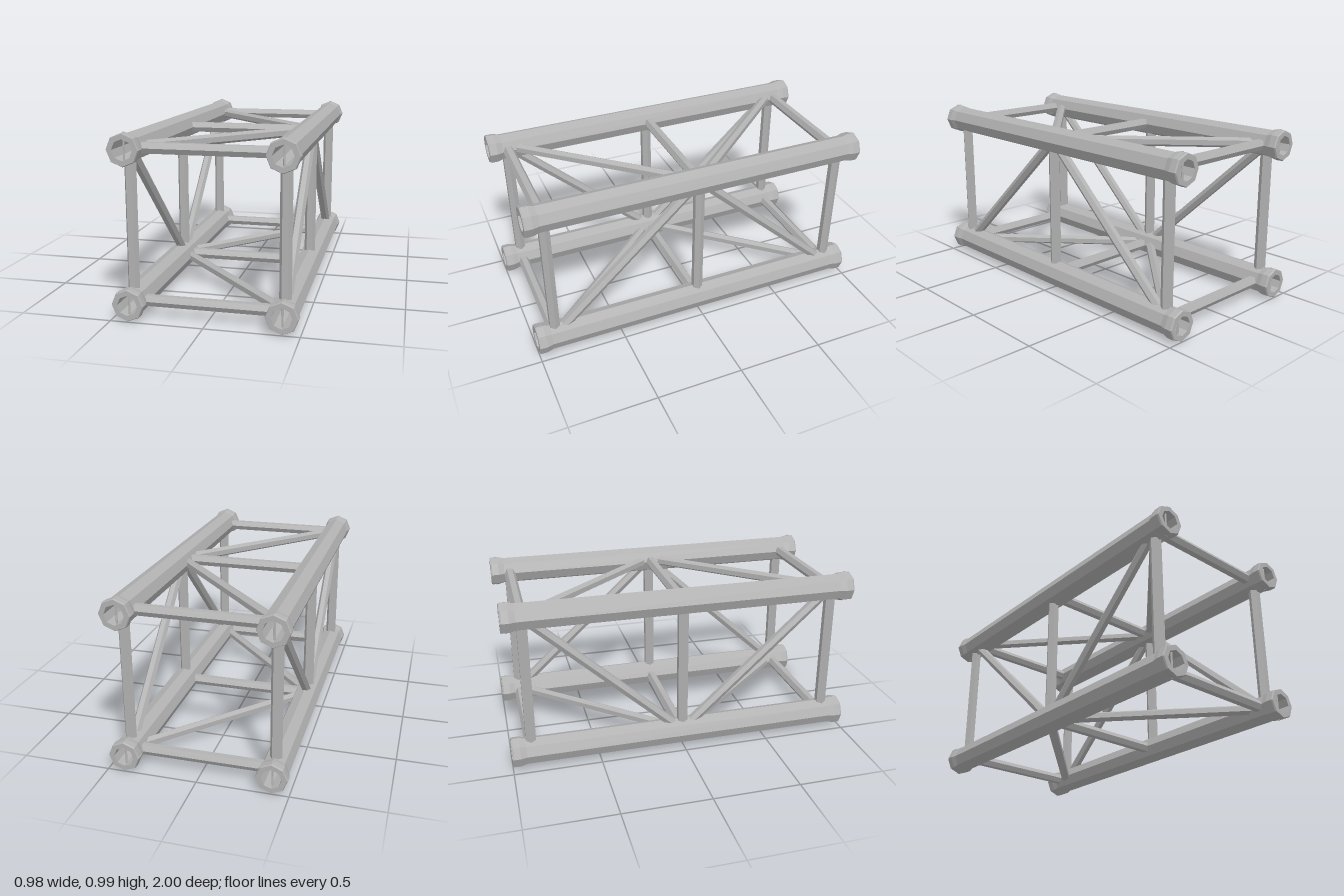
import * as THREE from 'three';

const X = 0.405, LOW = 0.088, HIGH = 0.901; // chord centre lines
const NODE = 0.888;                          // z of the end frames
const INSET = 0.062;                         // bars stop inside the chord wall

const metal = new THREE.MeshStandardMaterial({ color: 0xb2b2b2, flatShading: true });
metal.name = 'brushed aluminium';

const vec = (x, y, z) => new THREE.Vector3(x, y, z);

// Hollow octagonal chord with a thicker collar at both ends
function chordGeometry() {
  const half = [[0.0775, 0.92], [0.087, 0.955], [0.087, 0.992], [0.083, 1]];
  const outer = [...half.map(([r, z]) => [r, -z]).reverse(), ...half];
  const profile = [...outer, [0.055, 1], [0.055, -1], outer[0]];
  const geo = new THREE.LatheGeometry(profile.map(([r, z]) => new THREE.Vector2(r, z)), 8);
  return geo.rotateX(Math.PI / 2);
}

// Hexagonal bar between two chord centre lines. Its ends are mitred square to
// the span axis, and one of its long edges points along "corner".
function bar(name, from, to, span, corner, radius) {
  const run = to.clone().sub(from);
  const trim = INSET / Math.abs(run.dot(span));
  const a = from.clone().addScaledVector(run, trim);
  const b = to.clone().addScaledVector(run, -trim);
  const dir = run.clone().normalize();
  const geo = new THREE.CylinderGeometry(radius, radius, a.distanceTo(b), 6);
  const side = dir.clone().cross(corner);
  geo.applyMatrix4(new THREE.Matrix4().makeBasis(side, dir, corner));
  // slide each vertex along the bar onto the mitre plane
  const pos = geo.attributes.position, v = vec(0, 0, 0);
  for (let i = 0; i < pos.count; i++) {
    v.fromBufferAttribute(pos, i);
    const off = v.clone().addScaledVector(dir, -v.dot(dir));
    v.addScaledVector(dir, -off.dot(span) / dir.dot(span));
    pos.setXYZ(i, v.x, v.y, v.z);
  }
  geo.computeVertexNormals();
  const mesh = new THREE.Mesh(geo, metal);
  mesh.position.copy(a).add(b).multiplyScalar(0.5);
  mesh.name = name;
  return mesh;
}

export function createModel() {
  const truss = new THREE.Group();
  truss.name = 'boxTruss';
  const ax = vec(1, 0, 0), ay = vec(0, 1, 0), az = vec(0, 0, 1);

  // Four main chords, each with a locking pin through both collars
  const chordGeo = chordGeometry();
  const pinGeo = new THREE.CylinderGeometry(0.0055, 0.0055, 0.176, 8);
  for (const x of [-X, X]) for (const y of [LOW, HIGH]) {
    const chord = new THREE.Mesh(chordGeo, metal);
    chord.name = 'chord';
    chord.position.set(x, y, 0);
    truss.add(chord);
    for (const z of [-0.968, 0.968]) {
      const pin = new THREE.Mesh(pinGeo, metal);
      pin.name = 'lockingPin';
      pin.position.set(x, y, z);
      truss.add(pin);
    }
  }

  // Square frames at both ends and the middle
  for (const z of [-NODE, 0, NODE]) {
    for (const y of [LOW, HIGH])
      truss.add(bar('crossbar', vec(-X, y, z), vec(X, y, z), ax, az, 0.0325));
    for (const x of [-X, X])
      truss.add(bar('post', vec(x, LOW, z), vec(x, HIGH, z), ay, ax, 0.0325));
  }

  // Zigzag bracing: all diagonals meet at the upper +x and lower -x middle nodes
  for (const z of [-NODE, NODE]) {
    truss.add(bar('topBrace', vec(-X, HIGH, z), vec(X, HIGH, 0), ax, ay, 0.029));
    truss.add(bar('bottomBrace', vec(X, LOW, z), vec(-X, LOW, 0), ax, ay, 0.029));
    truss.add(bar('leftBrace', vec(X, LOW, z), vec(X, HIGH, 0), ay, ax, 0.029));
    truss.add(bar('rightBrace', vec(-X, HIGH, z), vec(-X, LOW, 0), ay, ax, 0.029));
  }
  return truss;
}
